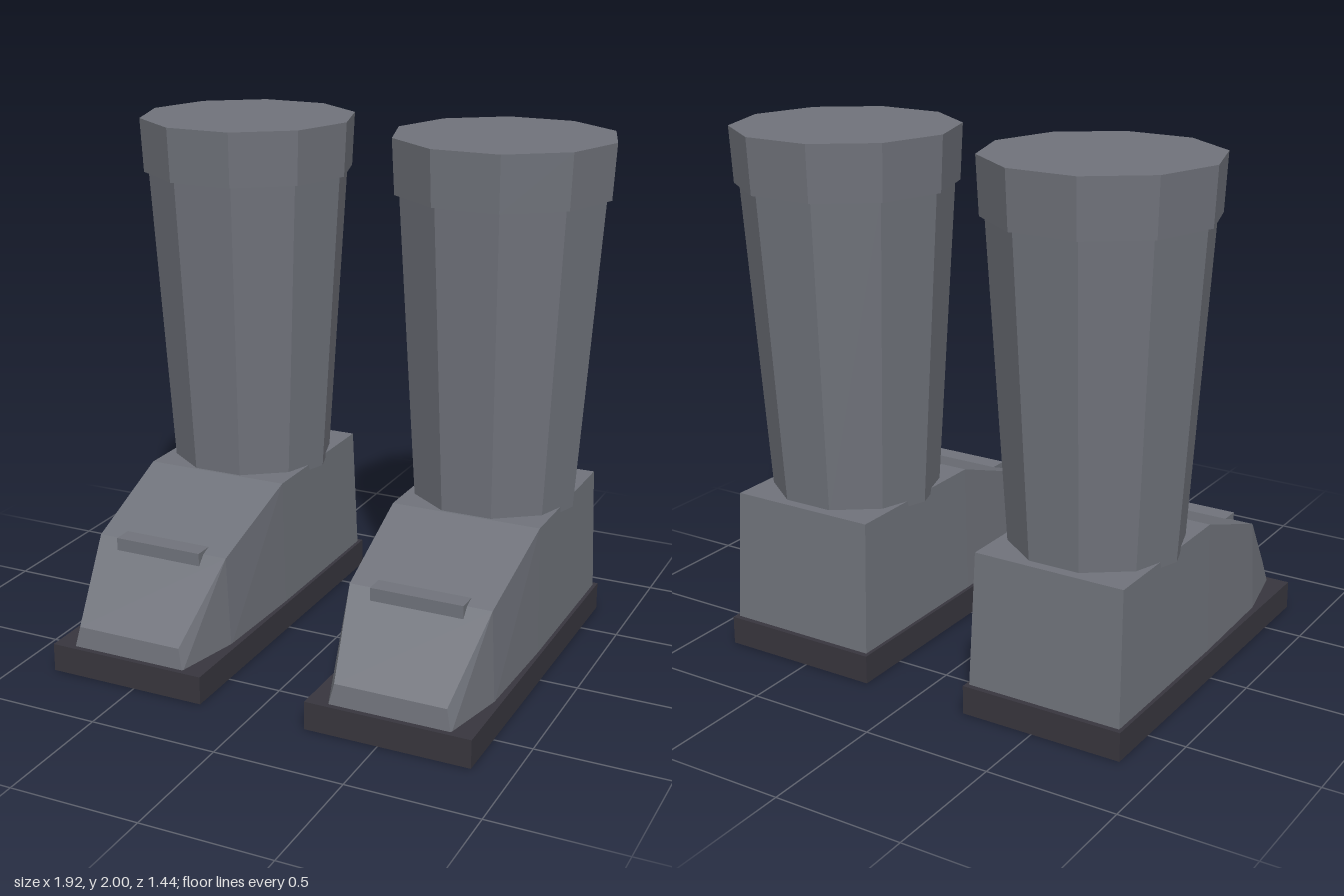
import * as THREE from 'three';

const leather = new THREE.MeshStandardMaterial({ color: 0x70737b, flatShading: true });
leather.name = 'greyLeather';
const rubber = new THREE.MeshStandardMaterial({ color: 0x38363e, flatShading: true });
rubber.name = 'darkRubber';

const SHAFT_Z = -0.315;

function part(name, geometry, material, x, y, z) {
  const mesh = new THREE.Mesh(geometry, material);
  mesh.name = name;
  mesh.position.set(x, y, z);
  return mesh;
}

// Ten-sided tapered drum with flats facing front and back
function drum(name, rTop, rBottom, y0, y1) {
  const g = new THREE.CylinderGeometry(rTop, rBottom, y1 - y0, 10, 1, false, Math.PI / 10);
  return part(name, g, leather, 0, (y0 + y1) / 2, SHAFT_Z);
}

// Foot lofted through four-cornered sections from heel to toe
function footGeometry() {
  // [bottom z, bottom half width, top z, top half width, top y]
  const sections = [
    [-0.69, 0.305, -0.66, 0.295, 0.615],
    [0, 0.305, 0, 0.295, 0.615],
    [0.43, 0.293, 0.43, 0.276, 0.46],
    [0.7, 0.235, 0.69, 0.215, 0.19],
  ].map(([zb, wb, zt, wt, yt]) => [
    [-wb, 0.1, zb], [wb, 0.1, zb], [wt, yt, zt], [-wt, yt, zt],
  ]);
  const pos = [];
  const tri = (...pts) => pts.forEach((p) => pos.push(...p));
  for (let i = 0; i < sections.length - 1; i++) {
    for (let k = 0; k < 4; k++) {
      const n = (k + 1) % 4;
      const a = sections[i][k], b = sections[i][n];
      const c = sections[i + 1][n], d = sections[i + 1][k];
      // Side diagonals run from the upper bend to the lower toe corner
      if (k === 1) { tri(a, b, d); tri(b, c, d); }
      else { tri(a, b, c); tri(a, c, d); }
    }
  }
  const [h0, h1, h2, h3] = sections[0];
  const [t0, t1, t2, t3] = sections[sections.length - 1];
  tri(h0, h2, h1); tri(h0, h3, h2);
  tri(t0, t1, t2); tri(t0, t2, t3);
  const g = new THREE.BufferGeometry();
  g.setAttribute('position', new THREE.Float32BufferAttribute(pos, 3));
  g.computeVertexNormals();
  return g;
}

function createBoot(name, x) {
  const boot = new THREE.Group();
  boot.name = name;
  boot.position.x = x;
  boot.add(
    part('sole', new THREE.BoxGeometry(0.638, 0.11, 1.43), rubber, 0, 0.055, 0.005),
    part('foot', footGeometry(), leather, 0, 0, 0),
    part('toeStrap', new THREE.BoxGeometry(0.36, 0.05, 0.08), leather, 0, 0.45, 0.425),
    drum('shaft', 0.396, 0.319, 0.592, 1.8),
    drum('cuff', 0.425, 0.414, 1.79, 2),
  );
  return boot;
}

export function createModel() {
  const model = new THREE.Group();
  model.name = 'boots';
  model.add(createBoot('leftBoot', 0.533), createBoot('rightBoot', -0.533));
  return model;
}
